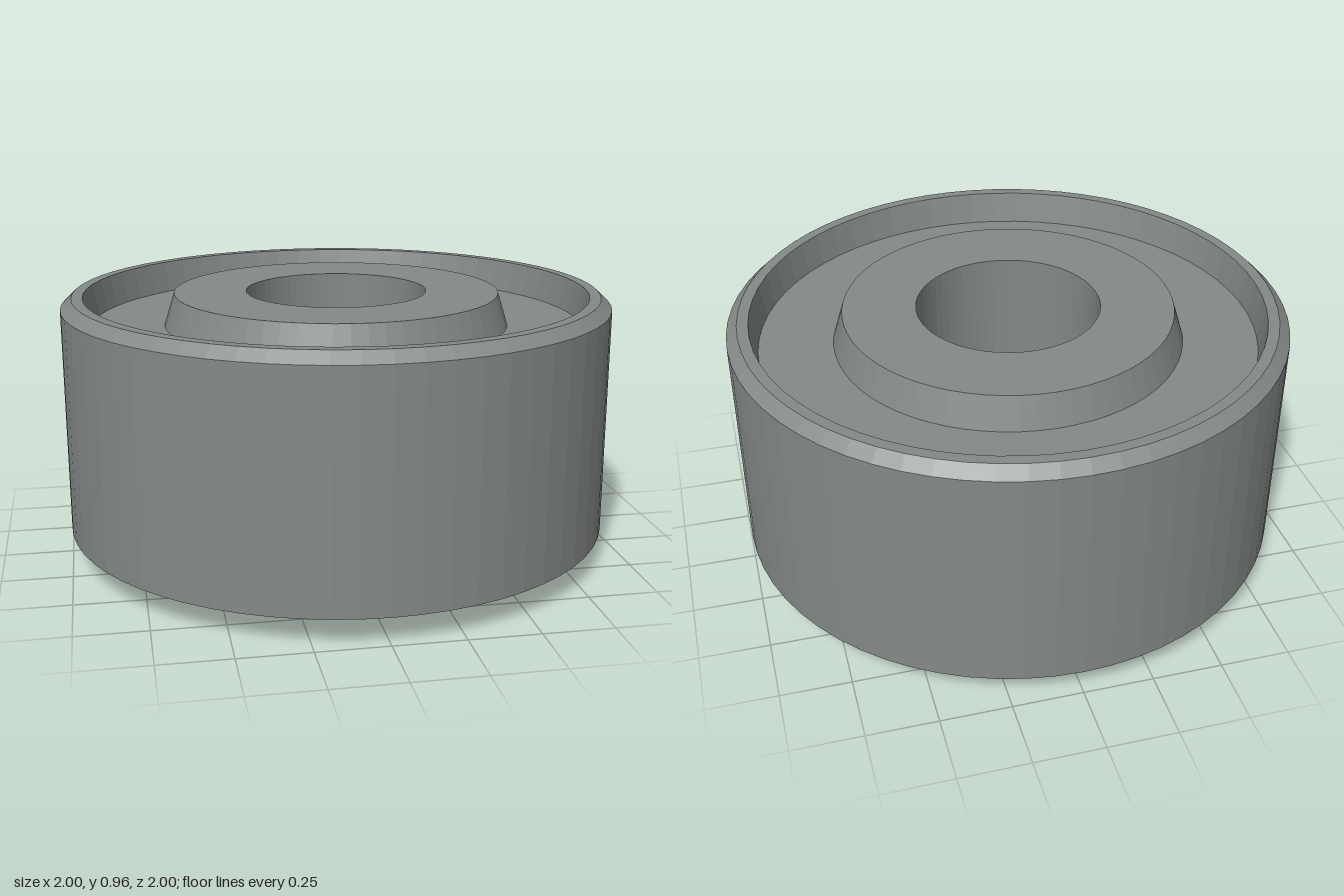
import * as THREE from 'three';

export function createModel() {
  const group = new THREE.Group();
  group.name = 'recessedRoller';
  const material = new THREE.MeshStandardMaterial({ color: 0x848a88, flatShading: true });

  // Closed radial section, [radius, height], running counter-clockwise
  const section = [
    [0.33, 0], [0.523, 0], [0.523, 0.098],             // lower boss
    [1, 0.098], [1, 0.922], [0.96, 0.96], [0.92, 0.96], // outer wall, chamfer and rim
    [0.897, 0.843], [0.63, 0.843],                      // recess wall and floor
    [0.593, 0.96], [0.33, 0.96], [0.33, 0],             // tapered hub and bore
  ].map(([r, y]) => new THREE.Vector2(r, y));

  const body = new THREE.Mesh(new THREE.LatheGeometry(section, 64), material);
  body.name = 'rollerBody';
  group.add(body);
  return group;
}
